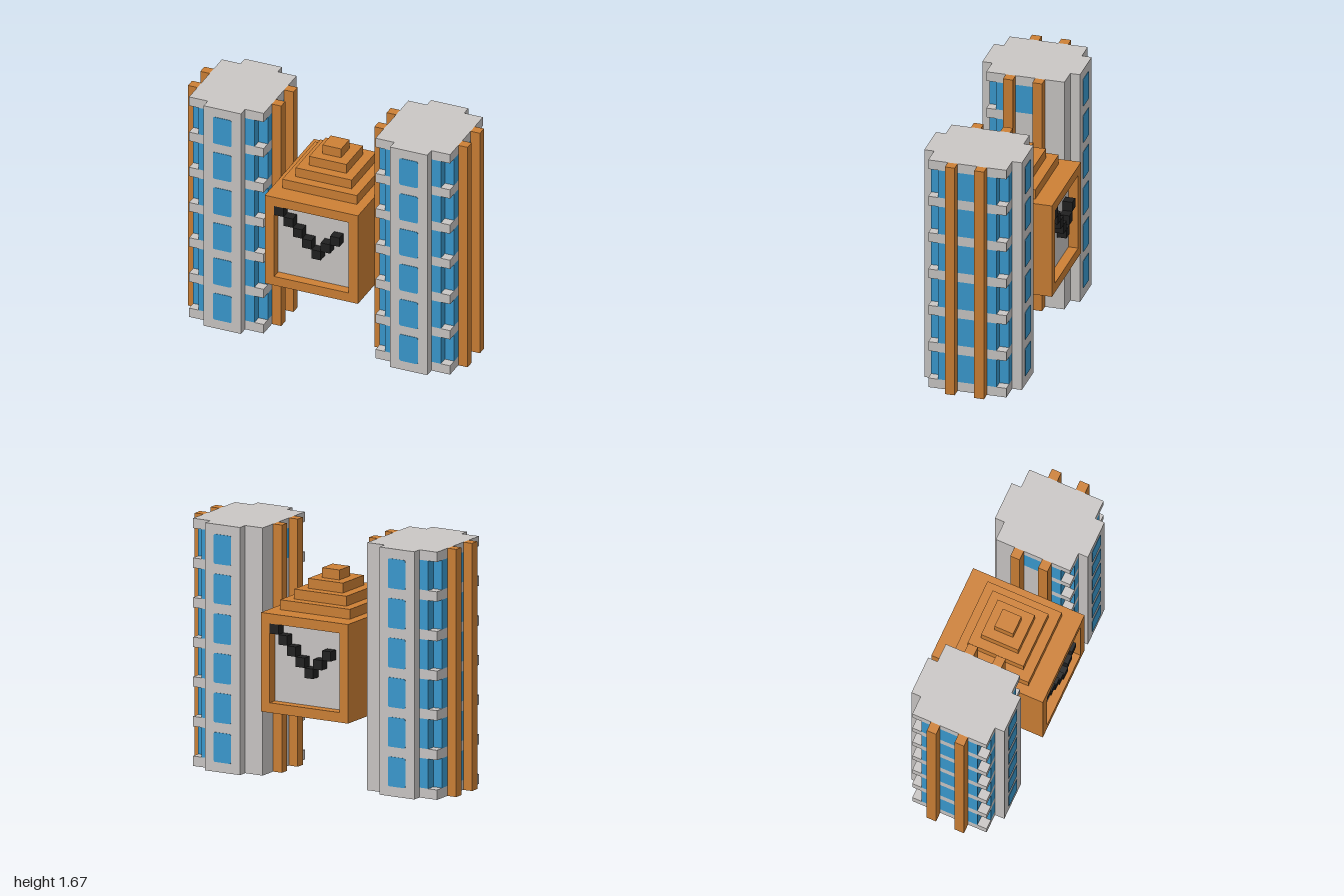
import * as THREE from 'three';

const U = 1 / 15; // one building block
const mat = (name, color) => Object.assign(new THREE.MeshStandardMaterial({ color }), { name });

export function createModel() {
  const stone = mat('pale stone', 0xcac7c5);
  const copper = mat('copper orange', 0xcd8035);
  const glass = mat('blue glass', 0x3a9ad0);
  const black = mat('black', 0x202020);
  const model = new THREE.Group();
  model.name = 'twinTowers';

  const add = (parent, name, geometry, material) => {
    const mesh = new THREE.Mesh(geometry, material);
    mesh.name = name;
    parent.add(mesh);
    return mesh;
  };
  // Box from its limits, counted in blocks
  const block = (parent, name, material, x0, x1, y0, y1, z0, z1) => {
    const mesh = add(parent, name, new THREE.BoxGeometry(
      Math.abs(x1 - x0) * U, (y1 - y0) * U, (z1 - z0) * U), material);
    mesh.position.set((x0 + x1) / 2 * U, (y0 + y1) / 2 * U, (z0 + z1) / 2 * U);
    return mesh;
  };

  // Window pane with small rounded corners
  const paneShape = new THREE.Shape();
  const w = U, h = 1.5 * U, r = 0.014;
  paneShape.moveTo(-w + r, -h);
  paneShape.lineTo(w - r, -h).quadraticCurveTo(w, -h, w, -h + r);
  paneShape.lineTo(w, h - r).quadraticCurveTo(w, h, w - r, h);
  paneShape.lineTo(-w + r, h).quadraticCurveTo(-w, h, -w, h - r);
  paneShape.lineTo(-w, -h + r).quadraticCurveTo(-w, -h, -w + r, -h);
  const paneGeometry = new THREE.ExtrudeGeometry(paneShape, { depth: 0.003, bevelEnabled: false, curveSegments: 4 });

  // Towers, mirrored across x
  for (const s of [1, -1]) {
    const tower = new THREE.Group();
    tower.name = s > 0 ? 'leftTower' : 'rightTower';
    model.add(tower);
    const part = (name, m, x0, x1, ...rest) => block(tower, name, m, s * x0, s * x1, ...rest);

    part('pilaster', stone, 8, 12, 0, 25, -5, 5);
    part('solidCorner', stone, 6, 8, 0, 25, -4, -1);
    part('innerWall', stone, 6, 8, 0, 21, -1, 1);
    for (const x of [5, 14]) for (const z of [-2, 1]) part('column', copper, x, x + 1, 0, 25, z, z + 1);

    // Floor slabs
    for (let i = 0; i < 7; i++) part('floorSlab', stone, 6, 14, i * 4, i * 4 + 1, -4, 4);

    for (let i = 0; i < 6; i++) {
      const y0 = i * 4 + 1, y1 = y0 + 3;
      // Stepped glazing between the slabs
      part('glazing', glass, 8, 14, y0, y1, -3, 3);
      part('glazing', glass, 8, 13, y0, y1, -4, 4);
      part('innerGlazing', glass, 6, 8, y0, y1, 1, 3);
      part('innerGlazing', glass, 7, 8, y0, y1, 3, 4);
      if (i === 5) part('topInnerWindow', glass, 6, 8, y0, y1, -1, 1);
      // Pilaster windows, front and back
      for (const f of [1, -1]) {
        const pane = add(tower, 'pilasterWindow', paneGeometry, glass);
        pane.position.set(s * 10 * U, (y0 + 1.5) * U, f * 5 * U);
        if (f < 0) pane.rotation.y = Math.PI;
      }
    }
  }

  // Clock house with recessed faces
  const clock = new THREE.Group();
  clock.name = 'clockHouse';
  model.add(clock);
  const square = (path, a) => path.moveTo(-a, -a).lineTo(a, -a).lineTo(a, a).lineTo(-a, a).closePath();
  const frame = square(new THREE.Shape(), 5 * U);
  frame.holes.push(square(new THREE.Path(), 4 * U));
  const housing = add(clock, 'clockFrame',
    new THREE.ExtrudeGeometry(frame, { depth: 12 * U, bevelEnabled: false }), copper);
  housing.position.set(0, 12 * U, -6 * U);
  block(clock, 'clockFace', stone, -4, 4, 8, 16, -5, 5);

  // Clock hands made of cubes, front and back
  for (const f of [1, -1]) {
    const hands = new THREE.Group();
    hands.name = f > 0 ? 'frontHands' : 'backHands';
    if (f < 0) hands.rotation.y = Math.PI;
    clock.add(hands);
    for (let i = 0; i < 7; i++) {
      const y = 11 + Math.abs(i - 4);
      block(hands, 'handCube', black, i - 4, i - 3, y, y + 1, 5, 6);
    }
  }

  // Stepped roof
  for (let i = 0; i < 4; i++) {
    const a = 4 - i;
    block(clock, 'roofStep', copper, -a, a, 17 + i, 18 + i, -a, a);
  }
  return model;
}
